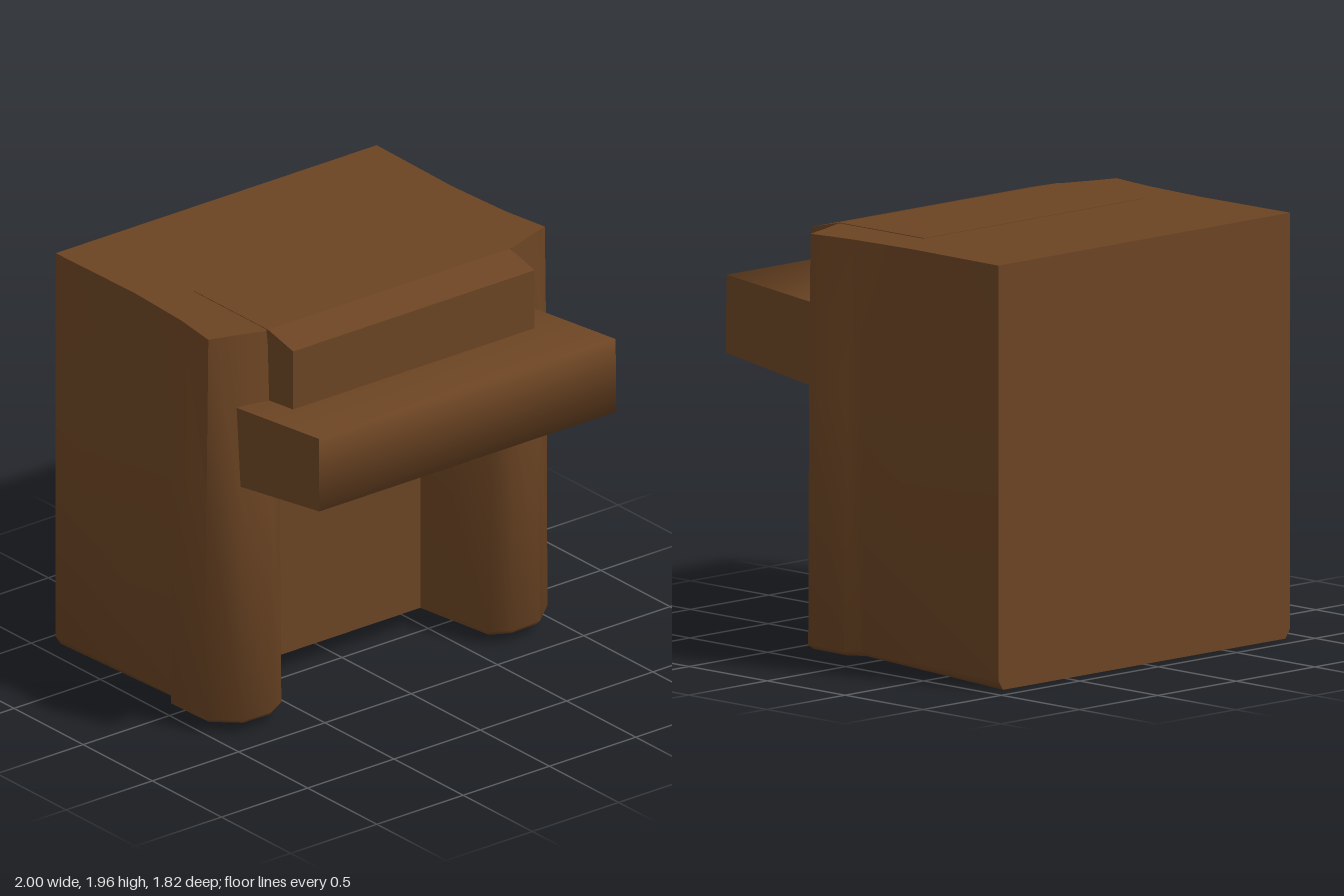
import * as THREE from 'three';
import { toCreasedNormals } from 'three/addons/utils/BufferGeometryUtils.js';

const v = (x, y, z) => new THREE.Vector3(x, y, z);

// Mirrors a half outline of [x, y, z] points into a full ring, back +x to back -x
const ring = (half) => [
  ...half.map(([x, y, z]) => v(x, y, z)),
  ...half.slice().reverse().map(([x, y, z]) => v(-x, y, z)),
];

// Joins stacked rings into a closed solid, caps included
function loft(rings, crease) {
  const pos = [];
  const tri = (...pts) => pts.forEach((p) => pos.push(p.x, p.y, p.z));
  const n = rings[0].length;
  for (let k = 0; k < rings.length - 1; k++) {
    for (let i = 0; i < n; i++) {
      const j = (i + 1) % n, a = rings[k], b = rings[k + 1];
      tri(a[i], b[i], b[j]);
      tri(a[i], b[j], a[j]);
    }
  }
  const cap = (pts, up) => {
    const flat = pts.map((p) => new THREE.Vector2(p.x, p.z));
    for (const [a, b, c] of THREE.ShapeUtils.triangulateShape(flat, [])) {
      const normal = pts[b].clone().sub(pts[a]).cross(pts[c].clone().sub(pts[a]));
      if (normal.y * up > 0) tri(pts[a], pts[b], pts[c]);
      else tri(pts[a], pts[c], pts[b]);
    }
  };
  cap(rings[0], -1);
  cap(rings[rings.length - 1], 1);
  const g = new THREE.BufferGeometry();
  g.setAttribute('position', new THREE.Float32BufferAttribute(pos, 3));
  return toCreasedNormals(g, crease);
}

// Extrudes a [z, y] profile across the width
function acrossWidth(profile, halfWidth) {
  const shape = new THREE.Shape(profile.map(([z, y]) => new THREE.Vector2(-z, y)));
  const g = new THREE.ExtrudeGeometry(shape, { depth: halfWidth * 2, bevelEnabled: false });
  return g.translate(0, 0, -halfWidth).rotateY(Math.PI / 2);
}

export function createModel() {
  const model = new THREE.Group();
  const wood = new THREE.MeshStandardMaterial({ color: 0x6b4423 });
  wood.name = 'brown wood';
  const add = (name, geometry) => {
    const mesh = new THREE.Mesh(geometry, wood);
    mesh.name = name;
    model.add(mesh);
    return mesh;
  };

  // Body with two front pillars and the recess between them
  const base = [[0.93, -0.91], [0.94, -0.05], [1.0, 0.01], [0.99, 0.25],
    [0.86, 0.36], [0.70, 0.365], [0.60, 0.31], [0.55, -0.12]];
  const middle = [[0.93, -0.91], [0.94, -0.05], [0.985, 0.01], [0.985, 0.25],
    [0.86, 0.34], [0.70, 0.36], [0.61, 0.31], [0.55, -0.12]];
  const top = [[0.93, -0.91], [0.92, -0.35], [0.94, 0.01], [0.975, 0.25],
    [0.86, 0.285], [0.71, 0.34], [0.68, 0.30], [0.60, -0.12]];
  const foot = [[0.90, 0.005, -0.91], [0.92, 0.05, -0.05], [0.97, 0.05, 0.02], [0.965, 0.05, 0.24],
    [0.85, 0.05, 0.345], [0.70, 0.05, 0.35], [0.61, 0.05, 0.30], [0.55, 0.05, -0.12]];
  const level = (pts, y) => ring(pts.map(([x, z]) => [x, y, z]));
  add('body', loft([
    ring(foot),
    ring(base.map(([x, z], i) => [x, i === 0 ? 0.05 : 0.07, z])),
    level(middle, 1.22),
    level(top, 1.96),
  ], 1.0));

  // Breast above the opening, with a sloped soffit and front lip
  add('upperBreast', acrossWidth([
    [-0.2, 1.15], [0.36, 1.23], [0.52, 1.28], [0.52, 1.92], [0.34, 1.963], [-0.2, 1.963],
  ], 0.7));

  // Mantel shelf: smooth wrapped face and flat ends
  const profile = [[0.29, 1.22], [0.91, 1.31], [0.905, 1.67], [0.29, 1.608]];
  const w = 0.86, pos = [], index = [];
  profile.forEach(([z, y], i) => {
    pos.push(-w, y, z, w, y, z);
    const a = i * 2;
    if (i < 3) index.push(a, a + 1, a + 3, a, a + 3, a + 2);
  });
  const face = new THREE.BufferGeometry();
  face.setAttribute('position', new THREE.Float32BufferAttribute(pos, 3));
  face.setIndex(index);
  face.computeVertexNormals();
  add('mantelFace', face);
  for (const s of [1, -1]) {
    const shape = new THREE.Shape(profile.map(([z, y]) => new THREE.Vector2(-s * z, y)));
    const end = add(s > 0 ? 'mantelEndLeft' : 'mantelEndRight', new THREE.ShapeGeometry(shape));
    end.rotation.y = s * Math.PI / 2;
    end.position.x = s * w;
  }
  return model;
}
